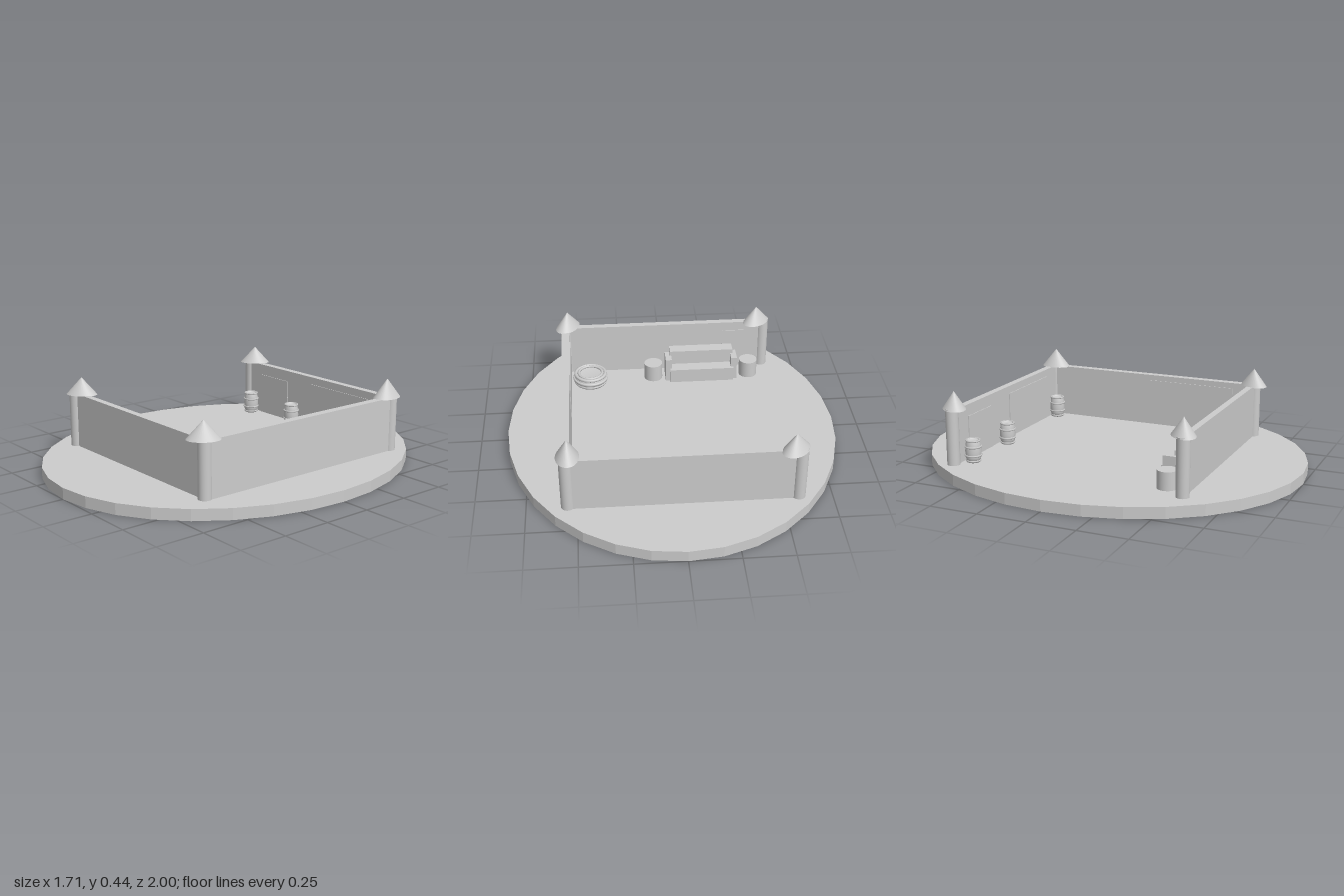
import * as THREE from 'three';

const FLOOR = 0.057, TOP = 0.34;
const grey = new THREE.MeshStandardMaterial({ color: 0xcccccc });
const flat = new THREE.MeshStandardMaterial({ color: 0xcccccc, flatShading: true });
const open = new THREE.MeshStandardMaterial({ color: 0xcccccc, side: THREE.DoubleSide });

export function createModel() {
  const model = new THREE.Group();
  const add = (name, geometry, x, y, z, material = grey, parent = model) => {
    const mesh = new THREE.Mesh(geometry, material);
    mesh.name = name;
    mesh.position.set(x, y, z);
    parent.add(mesh);
    return mesh;
  };
  // Box given by its limits on each axis
  const box = (name, x0, x1, y0, y1, z0, z1, parent = model) =>
    add(name, new THREE.BoxGeometry(x1 - x0, y1 - y0, z1 - z0),
      (x0 + x1) / 2, (y0 + y1) / 2, (z0 + z1) / 2, grey, parent);
  const lathe = (points, sides = 24) =>
    new THREE.LatheGeometry(points.map(p => new THREE.Vector2(p[0], p[1])), sides);

  // Oval ground plate
  add('base', new THREE.CylinderGeometry(1, 1, FLOOR, 32), 0, FLOOR / 2, 0, flat).scale.x = 0.857;

  // Three walls; the fourth side is open
  box('frontWall', -0.55, 0.55, FLOOR, TOP, 0.553, 0.587);
  box('backWall', -0.56, 0.55, FLOOR, TOP, -0.658, -0.62);
  box('sideWall', 0.524, 0.566, FLOOR, TOP, -0.64, 0.57);

  // Thin panels on the inner faces of the walls
  box('doorPanel', -0.45, -0.22, FLOOR, 0.28, -0.62, -0.616);
  box('backPanel', -0.03, 0.4, 0.14, 0.3, -0.62, -0.616);
  box('sidePanel', 0.52, 0.525, 0.14, 0.31, -0.02, 0.46);
  box('frontPanel', -0.45, -0.33, 0.14, 0.29, 0.549, 0.554);

  // Corner posts with oval cone roofs: post x, z; roof x, z, turn, tip height
  const corners = [
    [-0.557, 0.577, -0.518, 0.563, 0.66, 0.428],
    [0.54, 0.578, 0.532, 0.577, 1.0, 0.43],
    [-0.567, -0.64, -0.538, -0.643, 0.78, 0.428],
    [0.545, -0.637, 0.534, -0.62, Math.PI / 2, 0.437],
  ];
  for (const [px, pz, rx, rz, turn, tip] of corners) {
    const h = tip - 0.338;
    add('post', new THREE.CylinderGeometry(0.033, 0.033, 0.345 - FLOOR, 32), px, (0.345 + FLOOR) / 2, pz);
    const roof = add('postRoof', new THREE.ConeGeometry(1, h, 32), rx, 0.338 + h / 2, rz);
    roof.scale.set(0.082, 1, 0.057);
    roof.rotation.y = turn;
  }

  // Barrels along the back wall
  const barrelShape = lathe([[0, 0], [0.033, 0], [0.039, 0.025], [0.041, 0.055],
    [0.039, 0.085], [0.034, 0.115], [0.029, 0.115], [0.029, 0.108], [0, 0.108]]);
  for (const [x, z] of [[-0.488, -0.573], [-0.139, -0.573], [0.465, -0.582]]) {
    const barrel = new THREE.Group();
    barrel.name = 'barrel';
    barrel.position.set(x, FLOOR, z);
    add('barrelBody', barrelShape, 0, 0, 0, open, barrel);
    for (const [r, y] of [[0.035, 0.008], [0.04, 0.035], [0.04, 0.08], [0.035, 0.112]])
      add('barrelHoop', new THREE.TorusGeometry(r, 0.005, 6, 24), 0, y, 0, grey, barrel)
        .rotation.x = Math.PI / 2;
    model.add(barrel);
  }

  // Round tub with rings
  const tub = new THREE.Group();
  tub.name = 'tub';
  tub.position.set(0.418, FLOOR, 0.445);
  add('tubBody', lathe([[0, 0], [0.085, 0], [0.092, 0.03], [0.085, 0.058],
    [0.062, 0.058], [0.06, 0.05], [0, 0.05]], 32), 0, 0, 0, open, tub);
  for (const [r, y, t] of [[0.084, 0.01, 0.008], [0.09, 0.032, 0.008], [0.082, 0.054, 0.009], [0.065, 0.058, 0.007]])
    add('tubRing', new THREE.TorusGeometry(r, t, 8, 32), 0, y, 0, grey, tub).rotation.x = Math.PI / 2;
  model.add(tub);

  // Sofa
  const sofa = new THREE.Group();
  sofa.name = 'sofa';
  box('sofaSeat', -0.38, -0.028, FLOOR, 0.135, 0.4, 0.47, sofa);
  box('sofaBack', -0.38, -0.028, FLOOR, 0.215, 0.468, 0.532, sofa);
  box('sofaArm', -0.4, -0.367, FLOOR, 0.19, 0.415, 0.503, sofa);
  box('sofaArm', -0.036, -0.002, FLOOR, 0.19, 0.42, 0.51, sofa);
  model.add(sofa);

  // Round tables at the sofa ends
  for (const x of [-0.469, 0.065])
    add('sideTable', new THREE.CylinderGeometry(0.05, 0.05, 0.092, 32), x, FLOOR + 0.046, 0.467);

  return model;
}
